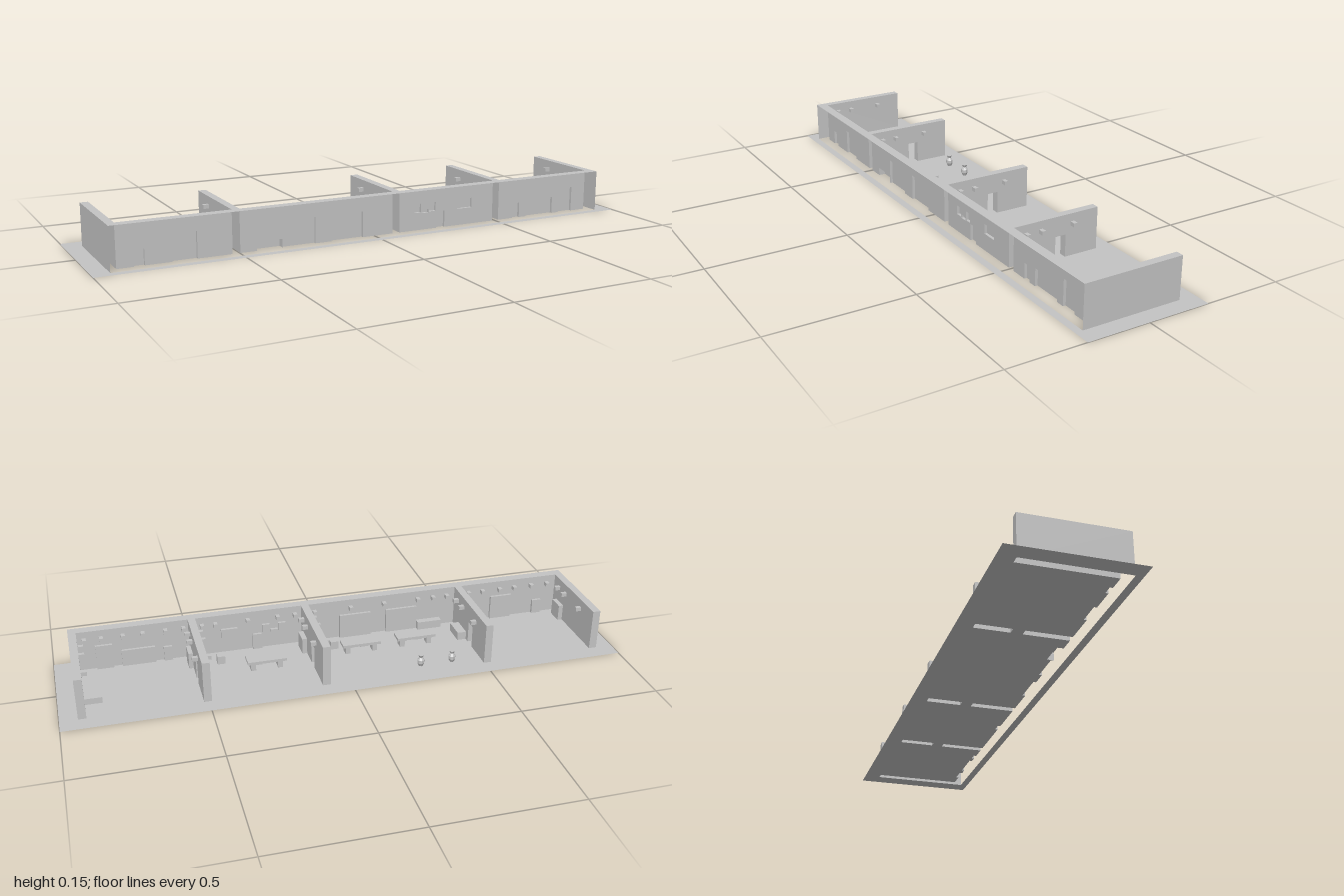
import * as THREE from 'three';

const H = 0.15, FRONT = 0.195, INNER = 0.16, BACK = -0.165;
const DOOR = { z0: -0.04, z1: 0, h: 0.08 };

// cross walls, as x ranges
const CROSS = [[-0.94, -0.912], [-0.525, -0.498], [0.072, 0.1], [0.49, 0.517], [0.91, 0.938]];

// fittings set into the long wall of each room: x0, x1, y0, y1, depth
const FITTINGS = [
  [[-0.855, -0.82, 0, 0.055, 0.01], [-0.73, -0.645, 0, 0.092, 0.01]],
  [[-0.44, -0.347, 0, 0.03, 0.025], [-0.345, -0.225, 0, 0.092, 0.01], [-0.165, -0.045, 0, 0.092, 0.01]],
  [[0.16, 0.188, 0.063, 0.095, 0.01], [0.19, 0.218, 0.06, 0.072, 0.01], [0.22, 0.248, 0.063, 0.095, 0.01],
    [0.25, 0.285, 0, 0.06, 0.01], [0.34, 0.4, 0.06, 0.095, 0.01]],
  [[0.58, 0.61, 0, 0.055, 0.01], [0.64, 0.76, 0, 0.062, 0.01], [0.79, 0.85, 0, 0.092, 0.01]],
];

// wall lamps along the long wall of each room
const LAMPS = [
  [-0.875, -0.81, -0.74, -0.68, -0.61, -0.553],
  [-0.465, -0.41, -0.35, -0.217, -0.088, 0.05],
  [0.125, 0.19, 0.3, 0.42, 0.468],
  [0.535, 0.6, 0.68, 0.75, 0.826, 0.885],
];

const outline = (pts) => new THREE.Shape(pts.map(([a, b]) => new THREE.Vector2(a, b)));
const rect = (a0, a1, b0, b1) => outline([[a0, b0], [a1, b0], [a1, b1], [a0, b1]]);

export function createModel() {
  const group = new THREE.Group();
  const stone = new THREE.MeshStandardMaterial({ color: 0xc4c4c4, side: THREE.DoubleSide });
  stone.name = 'grey stone';

  const add = (name, geometry) => {
    const mesh = new THREE.Mesh(geometry, stone);
    mesh.name = name;
    group.add(mesh);
    return mesh;
  };
  // flat sheets facing along each axis
  const sheetZ = (name, shape, z) => add(name, new THREE.ShapeGeometry(shape).translate(0, 0, z));
  const sheetX = (name, shape, x) => add(name, new THREE.ShapeGeometry(shape).rotateY(-Math.PI / 2).translate(x, 0, 0));
  const sheetY = (name, shape, y) => add(name, new THREE.ShapeGeometry(shape).rotateX(Math.PI / 2).translate(0, y, 0));
  // box by its limits, leaving out faces (0..5 = +x -x +y -y +z -z)
  const box = (name, x0, x1, y0, y1, z0, z1, open = []) => {
    const g = new THREE.BoxGeometry(x1 - x0, y1 - y0, z1 - z0);
    g.setIndex(Array.from(g.index.array).filter((_, i) => !open.includes(Math.floor(i / 6))));
    g.translate((x0 + x1) / 2, (y0 + y1) / 2, (z0 + z1) / 2);
    return add(name, g);
  };
  const isInner = (i) => i > 0 && i < CROSS.length - 1;

  // ground, left open below the hollow walls and floor-standing fittings
  const ground = rect(-1, 1, -0.225, 0.222);
  const comb = [[CROSS[0][0], FRONT]];
  CROSS.forEach(([x0, x1], i) => {
    const z = isInner(i) ? DOOR.z1 : BACK;
    if (i > 0) comb.push([x0, INNER]);
    comb.push([x0, z], [x1, z]);
    if (i < FITTINGS.length) {
      comb.push([x1, INNER]);
      FITTINGS[i].filter((f) => f[2] === 0).forEach(([a, b, , , d]) =>
        comb.push([a, INNER], [a, INNER - d], [b, INNER - d], [b, INNER]));
    }
    if (isInner(i)) ground.holes.push(rect(x0, x1, BACK, DOOR.z0));
  });
  comb.push([CROSS[4][1], FRONT]);
  ground.holes.push(outline(comb));
  sheetY('ground', ground, 0);

  // wall tops
  const cap = [[CROSS[0][0], FRONT]];
  CROSS.forEach(([x0, x1], i) => {
    if (i > 0) cap.push([x0, INNER]);
    cap.push([x0, BACK], [x1, BACK]);
    if (i < 4) cap.push([x1, INNER]);
  });
  cap.push([CROSS[4][1], FRONT]);
  sheetY('wallTop', outline(cap), H);

  // cross walls, with a doorway in the inner ones
  CROSS.forEach(([x0, x1], i) => {
    [x0, x1].forEach((x, side) => {
      const outer = (i === 0 && side === 0) || (i === 4 && side === 1);
      const end = outer ? FRONT : INNER;
      const face = isInner(i)
        ? outline([[BACK, 0], [DOOR.z0, 0], [DOOR.z0, DOOR.h], [DOOR.z1, DOOR.h], [DOOR.z1, 0], [end, 0], [end, H], [BACK, H]])
        : rect(BACK, end, 0, H);
      sheetX('crossWall', face, x);
      // lamps on the room side
      if (!outer) {
        const s = side === 0 ? -1 : 1;
        [-0.065, 0.058, 0.115].forEach((z) =>
          box('wallLamp', Math.min(x, x + s * 0.02), Math.max(x, x + s * 0.02), 0.108, 0.122, z - 0.007, z + 0.007));
      }
    });
    sheetZ('crossWallEnd', rect(x0, x1, 0, H), BACK);
    if (isInner(i)) {
      sheetZ('doorJamb', rect(x0, x1, 0, DOOR.h), DOOR.z0);
      sheetZ('doorJamb', rect(x0, x1, 0, DOOR.h), DOOR.z1);
      sheetY('doorHead', rect(x0, x1, DOOR.z0, DOOR.z1), DOOR.h);
    }
  });

  // long wall of each room, with its fittings and lamps
  FITTINGS.forEach((fittings, i) => {
    const x0 = CROSS[i][1], x1 = CROSS[i + 1][0];
    const pts = [[x0, 0]];
    fittings.filter((f) => f[2] === 0).forEach(([a, b, , h]) => pts.push([a, 0], [a, h], [b, h], [b, 0]));
    pts.push([x1, 0], [x1, H], [x0, H]);
    const wall = outline(pts);
    fittings.forEach(([a, b, y0, y1, d]) => {
      if (y0 > 0) wall.holes.push(rect(a, b, y0, y1));
      box('wallFitting', a, b, y0, y1, INNER - d, INNER, y0 > 0 ? [4] : [3, 4]);
    });
    sheetZ('longWall', wall, INNER);
    LAMPS[i].forEach((x) => box('wallLamp', x - 0.007, x + 0.007, 0.112, 0.126, INNER - 0.02, INNER));
  });

  // cupboards and beds against the cross walls
  [[-0.912, -0.895, 0.07, 0.13, 0.06], [-0.498, -0.465, 0.02, 0.1, 0.03],
    [0.1, 0.118, 0.07, 0.13, 0.06], [0.517, 0.533, 0.07, 0.13, 0.06],
    [0.85, 0.91, -0.08, 0.1, 0.022]].forEach(([x0, x1, z0, z1, h]) => box('sideFurniture', x0, x1, 0, h, z0, z1, [3]));

  // tables on two legs, with stools in front
  const table = (x0, x1, z0, z1, stools, stoolZ) => {
    box('tableTop', x0, x1, 0.03, 0.04, z0, z1);
    [x0 + 0.012, x1 - 0.03].forEach((x) => box('tableLeg', x, x + 0.018, 0, 0.03, z0 + 0.01, z1 - 0.01, [3]));
    stools.forEach((x) => box('stool', x - 0.015, x + 0.015, 0, 0.022, stoolZ, stoolZ + 0.035, [3]));
  };
  table(-0.375, -0.23, 0.015, 0.065, [-0.325, -0.265], 0.063);
  table(-0.165, -0.022, 0.015, 0.065, [-0.115, -0.055], 0.063);
  table(0.195, 0.335, -0.015, 0.04, [0.29], 0.032);
  box('seat', -0.018, 0.01, 0, 0.03, 0.072, 0.1, [3]);
  box('seat', 0.402, 0.43, 0, 0.03, 0.072, 0.1, [3]);

  // two pots on the terrace
  [-0.39, -0.272].forEach((x) => {
    const profile = [[0.007, 0], [0.013, 0.012], [0.013, 0.024], [0.006, 0.034], [0.011, 0.044], [0, 0.044]];
    const pot = add('pot', new THREE.LatheGeometry(profile.map((p) => new THREE.Vector2(...p)), 8).toNonIndexed());
    pot.geometry.computeVertexNormals();
    pot.position.set(x, 0, -0.123);
  });

  return group;
}
